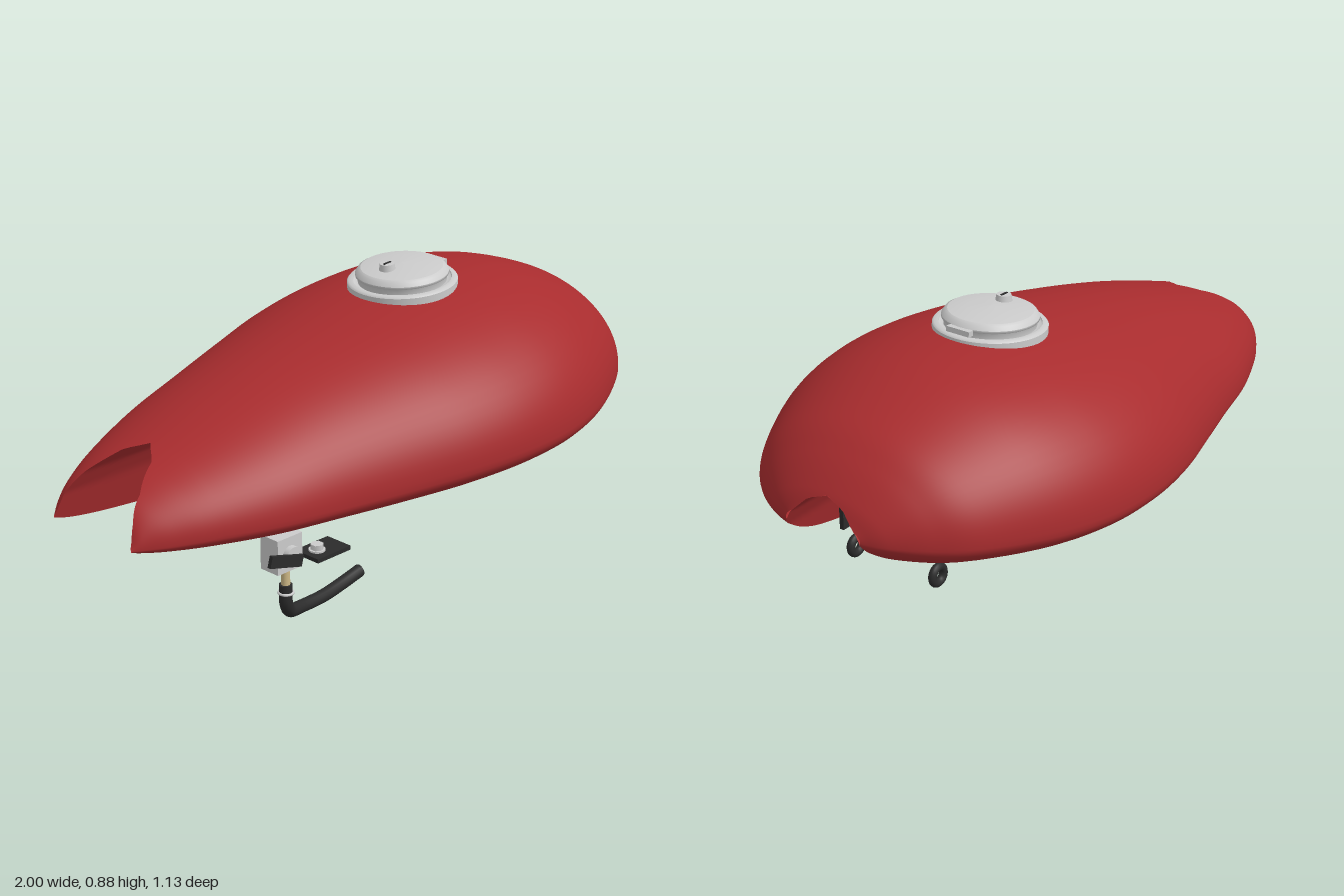
import * as THREE from 'three';

const mat = (name, color, side = THREE.FrontSide) => {
  const m = new THREE.MeshStandardMaterial({ color, side });
  m.name = name;
  return m;
};

// Tank stations: x, half width, top, bottom, height of the widest line
const STATIONS = [
  [-1, 0.167, 0.4, 0.355, 0.37], [-0.97, 0.19, 0.485, 0.34, 0.373],
  [-0.9, 0.237, 0.53, 0.325, 0.378], [-0.78, 0.3, 0.575, 0.31, 0.385],
  [-0.6, 0.37, 0.635, 0.295, 0.39], [-0.4, 0.422, 0.692, 0.286, 0.395],
  [-0.2, 0.48, 0.738, 0.28, 0.405], [0, 0.537, 0.776, 0.278, 0.42],
  [0.2, 0.565, 0.803, 0.281, 0.43], [0.4, 0.555, 0.815, 0.291, 0.436],
  [0.6, 0.5, 0.797, 0.312, 0.446], [0.8, 0.396, 0.73, 0.349, 0.46],
  [0.9, 0.305, 0.663, 0.383, 0.468], [0.97, 0.205, 0.585, 0.425, 0.475],
  [1, 0.13, 0.53, 0.445, 0.48],
];
// Half arch of the frame tunnel: half width, height
const ARCH = [[0, 0.575], [0.06, 0.555], [0.115, 0.5], [0.145, 0.44], [0.185, 0.285], [0.211, 0.185]];

function archWidth(y) {
  if (y >= ARCH[0][1]) return 0;
  let k = 1;
  while (k < ARCH.length - 1 && y < ARCH[k][1]) k++;
  const [z0, y0] = ARCH[k - 1], [z1, y1] = ARCH[k];
  return z0 + (z1 - z0) * (y - y0) / (y1 - y0);
}

// Shell section points and tunnel section points for one half of the tank
function section(u, curveA, curveB) {
  const a = curveA.getPoint(u), b = curveB.getPoint(u);
  const x = a.x, top = a.y, w = a.z, bottom = b.y, mid = b.z;
  const at = t => {
    const s = Math.sin(t);
    return [Math.max(0, w * Math.cos(t)), mid + s * (s > 0 ? top - mid : mid - bottom)];
  };
  const outside = t => { const [z, y] = at(t); return z > archWidth(y); };
  const cut = end => {
    let inT = 0, outT = end;
    for (let k = 0; k < 40; k++) {
      const m = (inT + outT) / 2;
      if (outside(m)) inT = m; else outT = m;
    }
    return inT;
  };
  const tLow = cut(-Math.PI / 2);
  const open = top > ARCH[0][1];
  const tHigh = open ? Math.PI / 2 : cut(Math.PI / 2);
  const outer = [], inner = [];
  for (let j = 0; j <= 36; j++) {
    const [z, y] = at(tLow + (tHigh - tLow) * j / 36);
    outer.push([x, y, open && j === 36 ? 0 : z]);
  }
  const yLow = at(tLow)[1], yHigh = Math.min(ARCH[0][1], at(tHigh)[1]);
  for (let j = 0; j <= 20; j++) {
    const y = yHigh + (yLow - yHigh) * (j / 20) ** 1.6;
    inner.push([x, y, archWidth(y)]);
  }
  return { outer, inner };
}

// Skin a row of sections; side -1 mirrors it across z
function skin(rows, side) {
  const n = rows[0].length, pos = [], idx = [];
  rows.forEach(r => r.forEach(p => pos.push(p[0], p[1], p[2] * side)));
  for (let i = 0; i < rows.length - 1; i++) for (let j = 0; j < n - 1; j++) {
    const a = i * n + j, b = a + n, c = a + 1, d = b + 1;
    if (side > 0) idx.push(a, b, c, b, d, c);
    else idx.push(a, c, b, b, c, d);
  }
  const g = new THREE.BufferGeometry();
  g.setAttribute('position', new THREE.Float32BufferAttribute(pos, 3));
  g.setIndex(idx);
  g.computeVertexNormals();
  // keep shading continuous over the centre line
  const p = g.attributes.position, nor = g.attributes.normal, v = new THREE.Vector3();
  for (let i = 0; i < p.count; i++) if (Math.abs(p.getZ(i)) < 1e-6) {
    v.fromBufferAttribute(nor, i).setZ(0).normalize();
    nor.setXYZ(i, v.x, v.y, v.z);
  }
  return g;
}

export function createModel() {
  const red = mat('red paint', 0xa82c2e, THREE.DoubleSide);
  const metal = mat('bright metal', 0xcbcbcb, THREE.DoubleSide);
  const black = mat('black rubber', 0x2b2b2b);
  const brass = mat('brass', 0xcdb886);
  const model = new THREE.Group();
  const add = (name, geo, m, x = 0, y = 0, z = 0, parent = model) => {
    const mesh = new THREE.Mesh(geo, m);
    mesh.name = name;
    mesh.position.set(x, y, z);
    parent.add(mesh);
    return mesh;
  };
  const cyl = (r0, r1, h, n = 24) => new THREE.CylinderGeometry(r0, r1, h, n);
  const box = (w, h, d) => new THREE.BoxGeometry(w, h, d);
  const lathe = pts => new THREE.LatheGeometry(pts.map(p => new THREE.Vector2(...p)), 48);

  // Tank shell and frame tunnel
  const curve = f => new THREE.CatmullRomCurve3(STATIONS.map(f), false, 'catmullrom', 0.5);
  const curveA = curve(s => new THREE.Vector3(s[0], s[2], s[1]));
  const curveB = curve(s => new THREE.Vector3(s[0], s[3], s[4]));
  const rows = [];
  for (let i = 0; i <= 112; i++) rows.push(section(i / 112, curveA, curveB));
  for (const side of [1, -1]) {
    const label = side > 0 ? 'left' : 'right';
    add(label + 'TankShell', skin(rows.map(r => r.outer), side), red);
    add(label + 'TunnelWall', skin(rows.map(r => r.inner), side), red);
    // Mounting pads and rubber rings
    add(label + 'MountPad', box(0.11, 0.14, 0.014), black, 0.695, 0.39, side * 0.148);
    add(label + 'RubberRing', new THREE.TorusGeometry(0.025, 0.0125, 12, 28), black, 0.69, 0.243, side * 0.147);
  }

  // Filler cap
  const cap = new THREE.Group();
  cap.name = 'fillerCap';
  cap.position.set(0.235, 0.79, 0);
  cap.rotation.z = 0.065;
  model.add(cap);
  add('capRing', lathe([[0.168, -0.02], [0.168, 0.022], [0.168, 0.022], [0.163, 0.028], [0.15, 0.028], [0.15, 0.028], [0.148, 0.02], [0.13, 0.02]]), metal, 0, 0, 0, cap);
  add('capLid', lathe([[0.135, 0.018], [0.135, 0.038], [0.142, 0.041], [0.142, 0.048], [0.142, 0.048], [0.134, 0.06], [0.125, 0.065], [0.125, 0.065], [0.118, 0.066], [0.07, 0.073], [0, 0.075]]), metal, 0, 0, 0, cap);
  add('capHinge', box(0.02, 0.016, 0.08), metal, 0.148, 0.04, 0, cap);
  add('capLock', cyl(0.022, 0.025, 0.02), metal, -0.063, 0.081, 0, cap);
  add('keySlot', box(0.03, 0.004, 0.007), black, -0.063, 0.091, 0, cap);

  // Fuel tap
  add('tapBody', box(0.095, 0.105, 0.07), metal, -0.55, 0.262, 0.278);
  add('tapPivot', cyl(0.028, 0.028, 0.02), metal, -0.55, 0.26, 0.32).rotation.x = Math.PI / 2;
  add('tapLever', box(0.125, 0.035, 0.012), black, -0.587, 0.259, 0.334).rotation.z = -0.27;
  add('outletTube', cyl(0.013, 0.013, 0.08), brass, -0.535, 0.175, 0.278);

  // Fuel hose with its clamp
  const path = new THREE.CatmullRomCurve3([
    [-0.535, 0.15, 0.278], [-0.532, 0.09, 0.276], [-0.505, 0.052, 0.262], [-0.44, 0.032, 0.238],
    [-0.33, 0.023, 0.222], [-0.24, 0.028, 0.21], [-0.16, 0.04, 0.204],
  ].map(p => new THREE.Vector3(...p)));
  add('fuelHose', new THREE.TubeGeometry(path, 48, 0.0195, 14), black);
  add('hoseTopEnd', cyl(0.0195, 0.0195, 0.004), black, -0.535, 0.149, 0.278);
  add('hoseEnd', cyl(0.0195, 0.0195, 0.004), black, -0.161, 0.04, 0.204).rotation.z = Math.PI / 2 + 0.13;
  add('hoseClamp', new THREE.TorusGeometry(0.021, 0.004, 8, 24), metal, -0.534, 0.125, 0.278).rotation.x = Math.PI / 2;

  // Rear mounting plate and bolt
  add('mountPlate', box(0.14, 0.013, 0.1), black, -0.11, 0.024, 0);
  add('boltWasher', cyl(0.026, 0.026, 0.006), metal, -0.135, 0.033, 0);
  add('boltHead', cyl(0.021, 0.021, 0.018, 6), metal, -0.135, 0.044, 0);
  return model;
}
